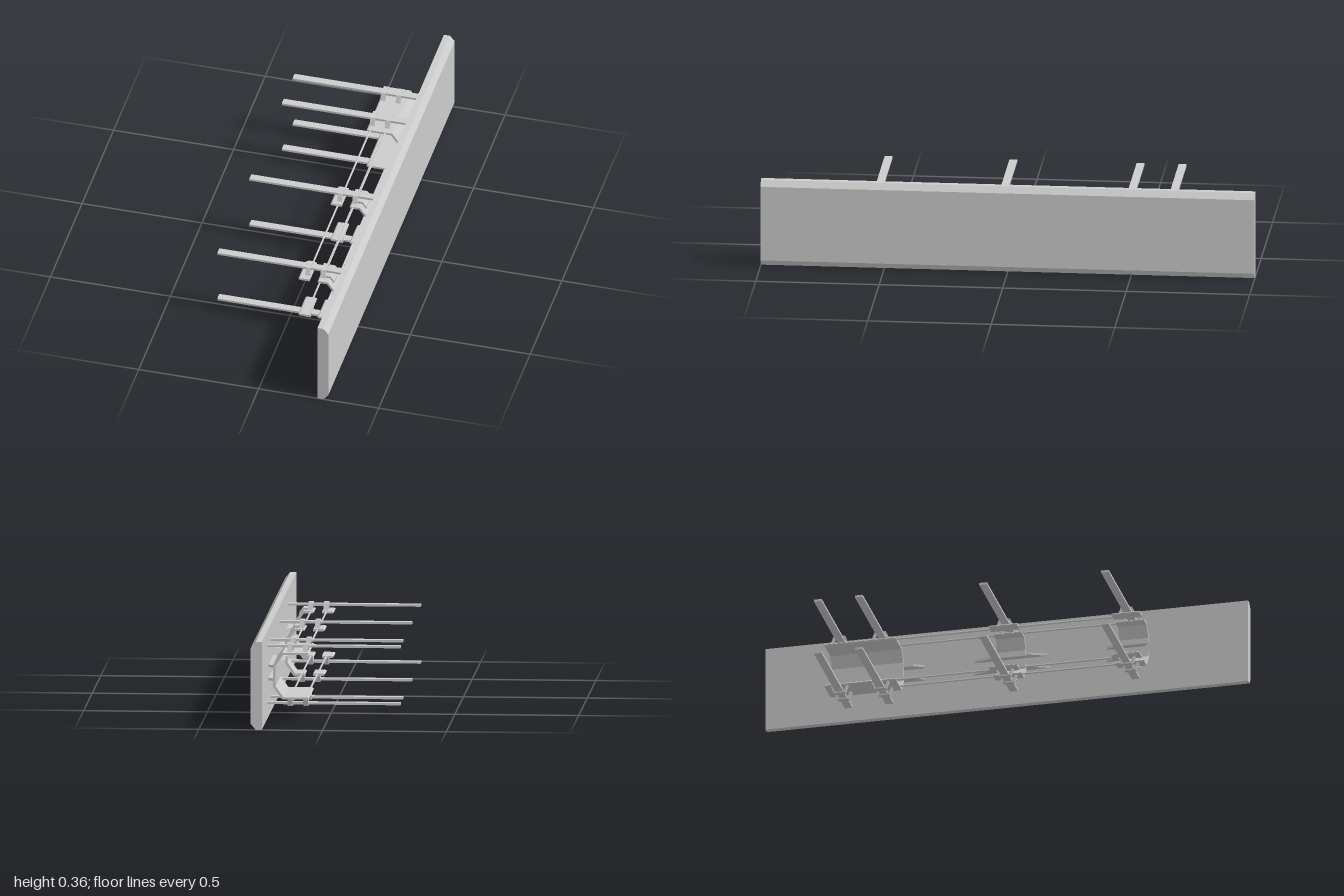
import * as THREE from 'three';

const MID = 0.179; // height of the horizontal mirror plane
const material = new THREE.MeshStandardMaterial({ color: 0xcccccc, flatShading: true, side: THREE.DoubleSide });

function shapeOf(points) {
  return new THREE.Shape(points.map(([a, b]) => new THREE.Vector2(a, b)));
}

// Profile in x and y, extruded from z0 to z1
function prism(name, points, z0, z1) {
  const g = new THREE.ExtrudeGeometry(shapeOf(points), { depth: z1 - z0, bevelEnabled: false });
  g.translate(0, 0, z0);
  const mesh = new THREE.Mesh(g, material);
  mesh.name = name;
  return mesh;
}

// Profile in x and z, thickness t, centred on height y
function slab(name, points, y, t) {
  const g = new THREE.ExtrudeGeometry(shapeOf(points), { depth: t, bevelEnabled: false });
  g.rotateX(Math.PI / 2).translate(0, y + t / 2, 0);
  const mesh = new THREE.Mesh(g, material);
  mesh.name = name;
  return mesh;
}

function box(name, x0, x1, y, h, z, d) {
  const mesh = new THREE.Mesh(new THREE.BoxGeometry(x1 - x0, h, d), material);
  mesh.name = name;
  mesh.position.set((x0 + x1) / 2, y, z);
  return mesh;
}

// Strap bent over a bar: profile in z and y, extruded along x
function clip(x, z, s) {
  const outer = [[-0.036, 0.094], [-0.023, 0.126], [0.023, 0.126], [0.036, 0.094]];
  const inner = [[0.029, 0.094], [0.017, 0.121], [-0.017, 0.121], [-0.029, 0.094]];
  const g = new THREE.ExtrudeGeometry(shapeOf([...outer, ...inner].map(([a, b]) => [a, b * s])),
    { depth: 0.02, bevelEnabled: false });
  g.rotateY(Math.PI / 2).translate(x - 0.01, MID, z);
  const mesh = new THREE.Mesh(g, material);
  mesh.name = 'barClip';
  return mesh;
}

export function createModel() {
  const model = new THREE.Group();
  model.name = 'bumperAssembly';

  // Long panel with chamfered outer edges
  model.add(prism('panel', [[0.245, 0], [0.27, 0], [0.29, 0.024], [0.29, 0.334], [0.27, 0.358], [0.245, 0.358]], -1, 1));

  const barZ = [-0.655, -0.485, 0.03, 0.535];
  const smallBrackets = [[-0.03, 0.087], [0.477, 0.595]];

  for (const s of [1, -1]) {
    const half = s > 0 ? 'upper' : 'lower';
    const group = new THREE.Group();
    group.name = half + 'Half';
    model.add(group);
    const flip = pts => pts.map(([x, d]) => [x, MID + s * d]);

    // Bent wall from the flat flange at x0 to the spine, which ends at height d
    const bend = (x0, d) => flip([
      [x0, 0.091], [x0 + 0.005, 0.095], [0.182, 0.095], [0.22, 0.044], [0.22, d],
      [0.21, d], [0.21, 0.041], [0.178, 0.086], [x0 + 0.005, 0.086],
    ]);

    // Cross bars and their clips
    for (const z of barZ) {
      group.add(box('crossBar', -0.291, 0.247, MID + s * 0.116, 0.009, z, 0.032));
      for (const x of [0.09, 0.153]) group.add(clip(x, z, s));
    }

    // Long bracket, both halves meeting at the mirror plane
    group.add(prism('longBracket', bend(0.075, 0), -0.715, -0.42));

    // Short brackets with a separate pad and a reinforced bend
    for (const [z0, z1] of smallBrackets) {
      group.add(prism('shortBracket', bend(0.138, 0.017), z0, z1));
      group.add(prism('shortPad', flip([[0.058, 0.09], [0.064, 0.095], [0.105, 0.095], [0.105, 0.086], [0.064, 0.086]]), z0, z1));
      group.add(prism('bendPlate', flip([[0.163, 0.094], [0.163, 0.104], [0.184, 0.104], [0.2, 0.083], [0.2, 0.069], [0.181, 0.094]]),
        z0 + 0.03, z1 - 0.03));
    }

    // Thin rods linking the brackets
    for (const x of [0.089, 0.152]) {
      const rod = new THREE.Mesh(new THREE.CylinderGeometry(0.004, 0.004, 0.98, 8), material);
      rod.name = 'linkRod';
      rod.rotation.x = Math.PI / 2;
      rod.position.set(x, MID + s * 0.0905, 0.055);
      group.add(rod);
    }

    // Flared mounting tabs between spine and panel
    const tabs = [
      [[0.215, -0.64], [0.246, -0.61], [0.246, -0.34], [0.235, -0.34], [0.215, -0.38]],
      [[0.215, -0.05], [0.235, -0.12], [0.246, -0.14], [0.246, 0.18], [0.235, 0.15], [0.215, 0.1]],
      [[0.215, 0.47], [0.235, 0.42], [0.246, 0.41], [0.246, 0.57], [0.215, 0.595]],
    ];
    for (const t of tabs) group.add(slab('mountTab', t, MID + s * 0.027, 0.01));
  }
  return model;
}
